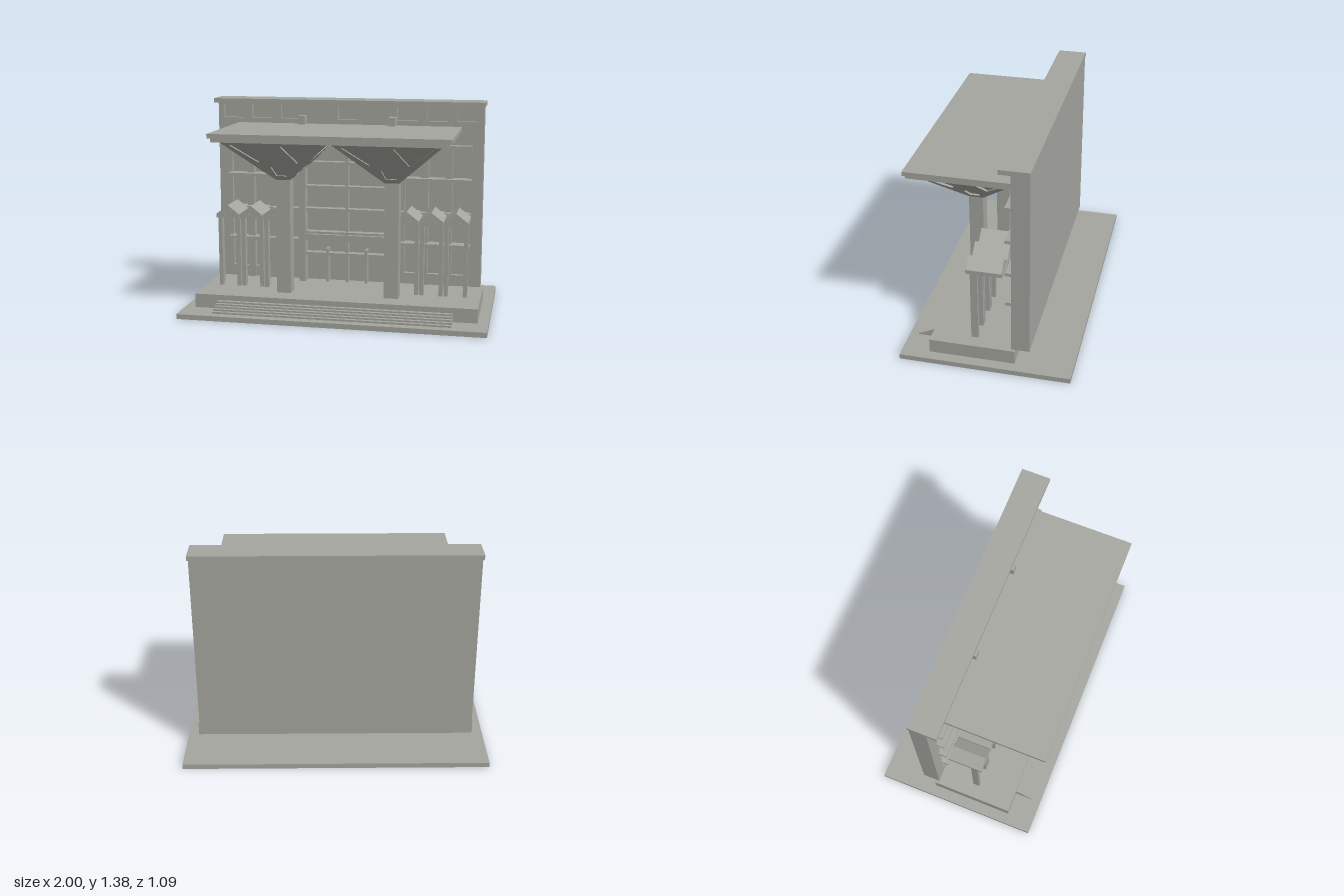
import * as THREE from 'three';

const stone = new THREE.MeshStandardMaterial({ color: 0xa5a69f });
stone.name = 'stone';

function add(parent, name, geometry) {
  const mesh = new THREE.Mesh(geometry, stone);
  mesh.name = name;
  parent.add(mesh);
  return mesh;
}

// Box given by its limits on each axis
function box(parent, name, x0, x1, y0, y1, z0, z1) {
  const mesh = add(parent, name, new THREE.BoxGeometry(x1 - x0, y1 - y0, z1 - z0));
  mesh.position.set((x0 + x1) / 2, (y0 + y1) / 2, (z0 + z1) / 2);
  return mesh;
}

const polygon = (points, Type = THREE.Shape) =>
  new Type(points.map(([x, y]) => new THREE.Vector2(x, y)));
const rect = (x0, x1, y0, y1) => [[x0, y0], [x1, y0], [x1, y1], [x0, y1]];

// Back wall with recessed windows
function buildWall(group) {
  const wall = polygon(rect(-0.91, 0.91, 0.125, 1.35));
  const hole = (...r) => wall.holes.push(polygon(rect(...r).reverse(), THREE.Path));
  hole(-0.07, 0.07, 1.245, 1.335);
  for (const s of [-1, 1]) {
    for (const x of [0.4, 0.603, 0.803]) hole(s * x - 0.068, s * x + 0.068, 1.245, 1.335);
    for (const x of [0.445, 0.605, 0.765])
      for (const [y0, y1] of [[0.2, 0.4], [0.42, 0.615], [0.635, 0.845], [0.865, 1.07]])
        hole(s * x - 0.055, s * x + 0.055, y0, y1);
  }
  const front = add(group, 'windowWall', new THREE.ExtrudeGeometry(wall, { depth: 0.03, bevelEnabled: false }));
  front.position.z = -0.185;
  box(group, 'backWall', -0.91, 0.91, 0.125, 1.35, -0.27, -0.185);
  box(group, 'cornice', -0.92, 0.92, 1.35, 1.38, -0.273, -0.083);

  for (const s of [-1, 1]) {
    const span = (name, a, b, ...rest) =>
      box(group, name, Math.min(s * a, s * b), Math.max(s * a, s * b), ...rest);
    span('pilaster', 0.285, 0.33, 0.125, 1.27, -0.156, -0.08);
    for (const y of [0.4, 0.615, 0.845, 1.07]) span('ledge', 0.33, 0.838, y, y + 0.02, -0.156, -0.1);
    for (const x of [0.525, 0.685]) span('rib', x - 0.025, x + 0.025, 0.125, 1.07, -0.156, -0.14);
  }

  // Central grid of shelves and fins
  for (const [y, h] of [[0.31, 0.018], [0.413, 0.042], [0.46, 0.015], [0.62, 0.018], [0.775, 0.02], [0.94, 0.02], [1.075, 0.02]])
    box(group, 'centreShelf', -0.285, 0.285, y, y + h, -0.156, -0.1);
  box(group, 'centreFin', -0.009, 0.009, 0.125, 1.06, -0.156, -0.105);
  for (const x of [-0.135, 0.135]) box(group, 'doorFin', x - 0.009, x + 0.009, 0.125, 0.36, -0.156, -0.095);
}

// Flared capital: four sheared faces with cut triangles and pentagon over a smaller core
function buildCapital(parent) {
  const y0 = 0.885, y1 = 1.16, low = 0.047, halfX = 0.35, halfZ = 0.302, depth = 0.022;
  const half = (top, y) => low + ((y - y0) / (y1 - y0)) * (top - low);
  const capital = new THREE.Group();
  capital.name = 'capital';
  parent.add(capital);

  const core = new THREE.BoxGeometry(2, 1, 2);
  const p = core.attributes.position;
  for (let i = 0; i < p.count; i++) {
    const top = p.getY(i) > 0, y = top ? y1 : y0;
    p.setXYZ(i, p.getX(i) * (half(halfX, y) - depth), y, p.getZ(i) * (half(halfZ, y) - depth));
  }
  core.computeVertexNormals();
  add(capital, 'capitalCore', core);

  for (let side = 0; side < 4; side++) {
    const across = side % 2 ? halfZ : halfX, out = side % 2 ? halfX : halfZ;
    const k = across / halfX;
    const face = polygon([[-low, y0], [low, y0], [across, y1], [-across, y1]]);
    for (const s of [-1, 1])
      face.holes.push(polygon([[s * 0.285 * k, 1.135], [s * 0.04 * k, 1.135], [s * 0.127 * k, 1.013]], THREE.Path));
    face.holes.push(polygon([0, 1, 2, 3, 4].map((i) => {
      const a = Math.PI / 2 + (i * Math.PI * 2) / 5;
      return [0.06 * k * Math.cos(a), 0.96 + 0.057 * Math.sin(a)];
    }), THREE.Path));
    const g = new THREE.ExtrudeGeometry(face, { depth, bevelEnabled: false });
    const q = g.attributes.position;
    for (let i = 0; i < q.count; i++) q.setZ(i, q.getZ(i) - depth + half(out, q.getY(i)));
    g.computeVertexNormals();
    add(capital, 'capitalFace', g).rotation.y = (side * Math.PI) / 2;
  }
  return capital;
}

// Small gabled shelter on two front posts
function buildPorch(parent, x) {
  const porch = new THREE.Group();
  porch.name = 'porch';
  porch.position.x = x;
  parent.add(porch);
  box(porch, 'porchSlab', -0.078, 0.078, 0.6, 0.626, -0.085, 0.147);
  const gable = polygon([[-0.078, 0.626], [0.078, 0.626], [0, 0.685]]);
  add(porch, 'porchGable', new THREE.ExtrudeGeometry(gable, { depth: 0.225, bevelEnabled: false })).position.z = -0.08;
  for (const s of [-0.063, 0.063]) box(porch, 'porchPost', s - 0.013, s + 0.013, 0.125, 0.6, 0.073, 0.118);
}

export function createModel() {
  const model = new THREE.Group();
  model.name = 'building';

  // Ground slab, platform and steps
  box(model, 'groundSlab', -1, 1, 0, 0.033, -0.545, 0.545);
  box(model, 'platform', -0.93, 0.93, 0.033, 0.125, -0.18, 0.368);
  for (let i = 0; i < 5; i++)
    box(model, 'step', -0.775, 0.775, 0.033, 0.045 + i * 0.0112, 0.368, 0.489 - i * 0.0235);

  buildWall(model);

  // Canopy
  box(model, 'canopyTop', -0.766, 0.766, 1.185, 1.212, -0.156, 0.54);
  box(model, 'canopySoffit', -0.745, 0.745, 1.158, 1.185, -0.156, 0.528);

  for (const s of [-1, 1]) {
    const x = s * 0.358;
    box(model, 'column', x - 0.047, x + 0.047, 0.125, 0.886, 0.143, 0.234);
    buildCapital(model).position.set(x, 0, 0.188);
    for (const px of [0.445, 0.605, 0.765]) buildPorch(model, s * px);
  }
  return model;
}
